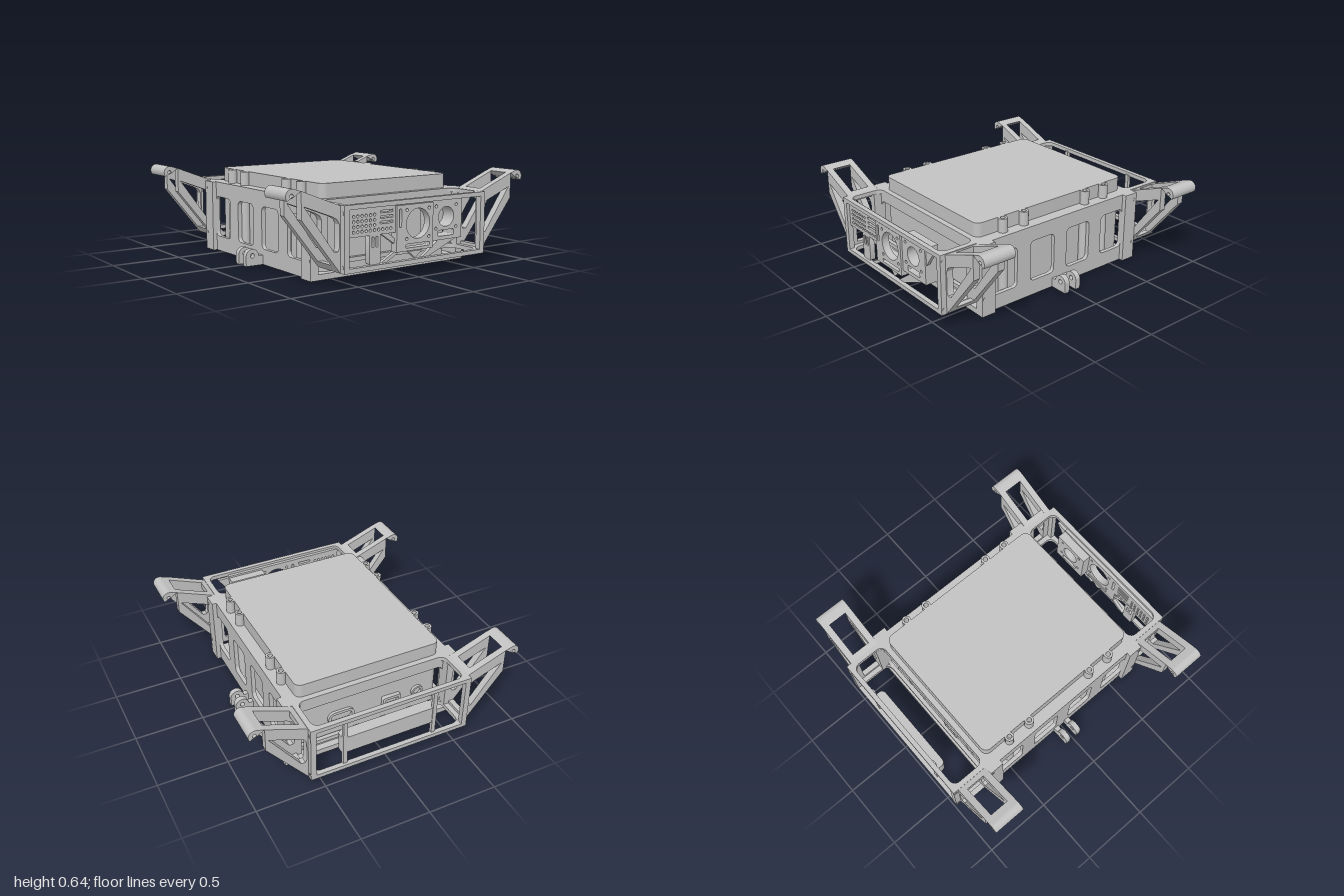
import * as THREE from 'three';
import { toCreasedNormals } from 'three/addons/utils/BufferGeometryUtils.js';

const grey = new THREE.MeshStandardMaterial({ color: 0xc2c2c2 });
grey.name = 'grey metal';

// Rounded rectangle, as a shape or as a hole path
function roundRect(x0, y0, x1, y1, r, P = THREE.Shape) {
  const p = new P();
  p.moveTo(x0 + r, y0);
  p.lineTo(x1 - r, y0);
  if (r) p.absarc(x1 - r, y0 + r, r, -Math.PI / 2, 0, false);
  p.lineTo(x1, y1 - r);
  if (r) p.absarc(x1 - r, y1 - r, r, 0, Math.PI / 2, false);
  p.lineTo(x0 + r, y1);
  if (r) p.absarc(x0 + r, y1 - r, r, Math.PI / 2, Math.PI, false);
  p.lineTo(x0, y0 + r);
  if (r) p.absarc(x0 + r, y0 + r, r, Math.PI, Math.PI * 1.5, false);
  return p;
}
function circle(x, y, r) {
  const p = new THREE.Path();
  p.absarc(x, y, r, 0, Math.PI * 2, true);
  return p;
}
const poly = (pts) => new THREE.Shape(pts.map(([x, y]) => new THREE.Vector2(x, y)));

export function createModel() {
  const root = new THREE.Group();
  root.name = 'equipmentCase';

  function add(name, geo, parent = root) {
    const m = new THREE.Mesh(geo, grey);
    m.name = name;
    parent.add(m);
    return m;
  }
  function box(name, x0, x1, y0, y1, z0, z1, parent) {
    const g = new THREE.BoxGeometry(x1 - x0, y1 - y0, z1 - z0);
    return add(name, g.translate((x0 + x1) / 2, (y0 + y1) / 2, (z0 + z1) / 2), parent);
  }
  // Extrude a shape from a to b along the chosen axis
  function slab(name, shape, a, b, axis = 'z', parent = root) {
    const g = new THREE.ExtrudeGeometry(shape, { depth: b - a, bevelEnabled: false, curveSegments: 10 });
    g.translate(0, 0, a);
    if (axis === 'y') g.rotateX(-Math.PI / 2);
    if (axis === 'x') g.rotateY(Math.PI / 2);
    return add(name, toCreasedNormals(g, 0.6), parent);
  }
  function holed(shape, ...holes) {
    shape.holes.push(...holes);
    return shape;
  }

  // Core: floor, inner box with raised lid, and top deck
  box('floor', -0.63, 0.63, 0, 0.04, -0.71, 0.71);
  slab('innerBox', roundRect(-0.545, -0.66, 0.545, 0.66, 0.05), 0.04, 0.62, 'y');
  slab('topDeck', holed(roundRect(-0.61, -0.68, 0.61, 0.68, 0),
    roundRect(-0.545, -0.66, 0.545, 0.66, 0.05, THREE.Path)), 0.49, 0.52, 'y');

  for (const s of [-1, 1]) {
    // Side wall with four windows
    const wall = roundRect(-0.71, 0, 0.71, 0.52, 0);
    for (const z of [-0.495, -0.165, 0.165, 0.495])
      wall.holes.push(roundRect(z - 0.107, 0.11, z + 0.107, 0.41, 0.035, THREE.Path));
    slab('sideWall', wall, s > 0 ? 0.6 : -0.63, s > 0 ? 0.63 : -0.6, 'x');

    // Screw posts between wall and box
    for (const z of [-0.46, -0.28, 0.28, 0.46]) {
      const post = new THREE.Shape();
      post.absarc(s * 0.565, -z, 0.033, 0, Math.PI * 2, false);
      slab('screwPost', holed(post, circle(s * 0.565, -z, 0.017)), 0.04, 0.62, 'y');
    }

    // Hinge lugs low on the side
    for (const z of [-0.05, 0.05]) {
      const lug = new THREE.Shape();
      lug.moveTo(0.62, 0);
      lug.lineTo(0.765, 0);
      lug.lineTo(0.765, 0.068);
      lug.absarc(0.715, 0.068, 0.05, 0, Math.PI, false);
      lug.lineTo(0.62, 0.068);
      const g = slab('hingeLug', holed(lug, circle(0.715, 0.072, 0.017)), z - 0.02, z + 0.02);
      g.rotation.y = s > 0 ? 0 : Math.PI;
    }

    for (const e of [-1, 1]) {
      // Corner flange and its bolts
      const fx = s * 0.645, fz = e * 0.655;
      box('cornerFlange', fx - 0.017, fx + 0.017, 0, 0.52, fz - 0.055, fz + 0.055);
      for (const y of [0.13, 0.47])
        for (const [x, z] of [[0.659, 0.692], [0.597, 0.972]]) {
          const g = new THREE.CylinderGeometry(0.012, 0.012, 0.012, 16).rotateZ(Math.PI / 2);
          add('bolt', g.translate(s * x, y, e * z));
        }

      // Lifting arm: two triangular cheeks of an upper and a lower bar, joined by a solid tip
      const arm = new THREE.Group();
      arm.name = 'liftingArm';
      arm.position.z = e * 0.83;
      arm.rotation.y = s > 0 ? 0 : Math.PI;
      root.add(arm);
      for (const z of [-0.12, 0.07]) {
        slab('upperBar', poly([[0.6, 0.515], [0.6, 0.4], [0.61, 0.4], [0.625, 0.43], [0.66, 0.45],
          [0.87, 0.53], [0.89, 0.535], [0.89, 0.627]]), z, z + 0.05, 'z', arm);
        slab('lowerBar', poly([[0.6, 0.09], [0.89, 0.451], [0.89, 0.535], [0.87, 0.53], [0.65, 0.23],
          [0.62, 0.23], [0.61, 0.25], [0.61, 0.4], [0.6, 0.4]]), z, z + 0.05, 'z', arm);
      }
      const tip = new THREE.Shape();
      tip.moveTo(0.89, 0.451);
      tip.absarc(0.955, 0.6, 0.045, -0.69, 1.94, false);
      tip.lineTo(0.89, 0.627);
      slab('armTip', holed(tip, circle(0.957, 0.6, 0.014)), -0.12, 0.12, 'z', arm);
      slab('lowerMount', poly([[0.6, 0.09], [0.64, 0.14], [0.6, 0.14]]), -0.07, 0.07, 'z', arm);
      slab('upperMount', poly([[0.6, 0.465], [0.64, 0.48], [0.64, 0.53], [0.6, 0.515]]), -0.07, 0.07, 'z', arm);
    }
  }

  // Bumper cages at both ends
  for (const e of [-1, 1]) {
    const end = new THREE.Group();
    end.name = e > 0 ? 'frontCage' : 'rearCage';
    end.rotation.y = e > 0 ? 0 : Math.PI;
    root.add(end);
    for (const [y0, y1] of [[0.09, 0.12], [0.49, 0.52]])
      slab('cageRing', holed(roundRect(-0.6, -0.99, 0.6, -0.67, 0),
        roundRect(-0.562, -0.955, 0.562, -0.7, 0.05, THREE.Path)), y0, y1, 'y', end);
    for (const x of [-0.58, 0.58]) {
      box('cagePost', x - 0.02, x + 0.02, 0.12, 0.49, 0.95, 0.99, end);
      box('innerPost', x - 0.02, x + 0.02, 0.12, 0.49, 0.7, 0.76, end);
    }
    slab('endWall', holed(roundRect(-0.6, 0.09, 0.6, 0.515, 0),
      roundRect(-0.56, 0.12, 0.56, 0.43, 0.04, THREE.Path)), 0.67, 0.7, 'z', end);
  }

  // Front instrument panel: vent plate with holes and slots
  const vent = roundRect(-0.555, 0.31, -0.18, 0.485, 0);
  for (let r = 0; r < 4; r++)
    for (let c = 0; c < (r === 0 ? 10 : 6); c++)
      vent.holes.push(circle(-0.515 + c * 0.033, 0.342 + r * 0.033, 0.01));
  for (const y of [0.385, 0.42, 0.455])
    vent.holes.push(roundRect(-0.305, y - 0.008, -0.2, y + 0.008, 0.004, THREE.Path));
  slab('ventPlate', vent, 0.93, 0.97);

  // Slotted tab under the vents
  slab('slottedTab', holed(roundRect(-0.39, 0.12, -0.3, 0.315, 0.015),
    roundRect(-0.37, 0.23, -0.352, 0.3, 0.006, THREE.Path),
    roundRect(-0.338, 0.23, -0.32, 0.3, 0.006, THREE.Path)), 0.93, 0.97);

  // Large fan plate
  const fan = roundRect(-0.18, 0.18, 0.13, 0.485, 0);
  fan.holes.push(circle(0, 0.355, 0.1), roundRect(-0.16, 0.34, -0.14, 0.46, 0.005, THREE.Path),
    roundRect(-0.1, 0.2, 0.1, 0.225, 0.005, THREE.Path));
  for (const x of [-0.095, 0.095]) for (const y of [0.26, 0.45]) fan.holes.push(circle(x, y, 0.011));
  slab('largeFanPlate', fan, 0.93, 0.985);

  // Small fan housing
  const small = roundRect(0.12, 0.22, 0.4, 0.485, 0);
  small.holes.push(circle(0.26, 0.375, 0.068), roundRect(0.19, 0.245, 0.33, 0.285, 0.008, THREE.Path));
  for (const x of [0.17, 0.35]) for (const y of [0.3, 0.45]) small.holes.push(circle(x, y, 0.011));
  slab('smallFanHousing', small, 0.865, 0.97);

  // Gussets tying the panel to the cage
  const gussets = [
    [[0.4, 0.36], [0.49, 0.485], [0.4, 0.485]],
    [[-0.06, 0.17], [0, 0.12], [0.06, 0.17]],
    [[-0.29, 0.12], [-0.24, 0.12], [-0.13, 0.18], [-0.18, 0.18]],
    [[0.06, 0.12], [0.12, 0.12], [0.36, 0.22], [0.2, 0.22]],
    [[-0.29, 0.31], [-0.13, 0.2], [-0.18, 0.27], [-0.23, 0.31]],
  ];
  for (const g of gussets) slab('gusset', poly(g), 0.935, 0.96);
  box('panelTopRail', -0.56, 0.4, 0.475, 0.5, 0.93, 0.97);

  // Rear handle plate hung from the rear cage
  slab('rearHandle', roundRect(-0.36, 0.88, 0.36, 0.965, 0.035), 0.21, 0.34, 'y');
  for (const x of [-0.34, 0.34]) box('handleStrap', x - 0.015, x + 0.015, 0.1, 0.5, -0.97, -0.945);

  // Rear face details: oval port, socket and round port
  slab('ovalPort', holed(roundRect(0.12, 0.2, 0.32, 0.3, 0.05),
    roundRect(0.14, 0.22, 0.3, 0.28, 0.03, THREE.Path)), -0.68, -0.655);
  slab('socket', holed(roundRect(-0.24, 0.2, -0.1, 0.29, 0.01),
    roundRect(-0.22, 0.22, -0.12, 0.27, 0.005, THREE.Path)), -0.69, -0.655);
  const port = new THREE.Shape();
  port.absarc(-0.38, 0.25, 0.045, 0, Math.PI * 2, false);
  slab('roundPort', holed(port, circle(-0.38, 0.25, 0.03)), -0.68, -0.655);

  return root;
}
